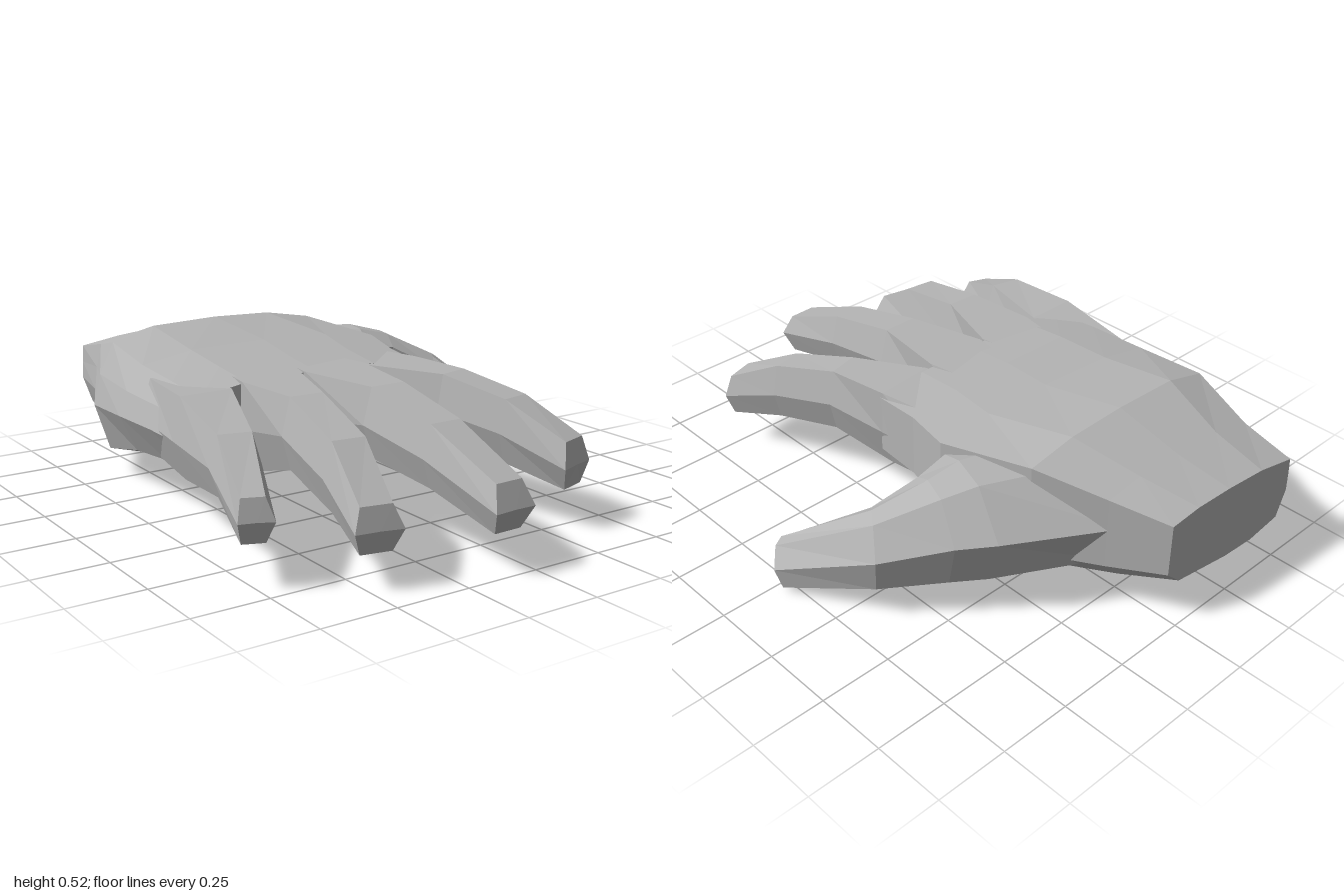
import * as THREE from 'three';

const skin = new THREE.MeshStandardMaterial({ color: 0xb4b4b4 });

// Cross-section shapes as [across 0..1, height 0..1], left side over the top to the right
const palmShape = [[0, 0.46], [0.03, 0.68], [0.09, 0.9], [0.27, 0.985], [0.55, 1], [0.8, 0.985], [1, 0.92],
  [1, 0.25], [0.9, 0.07], [0.5, 0], [0.28, 0.01], [0.06, 0.12]];
const fingerShape = [[0, 0.48], [0.17, 1], [0.83, 1], [1, 0.48], [0.83, 0], [0.17, 0]];
const thumbShape = [[0, 0.3], [0.04, 0.88], [0.3, 1], [0.65, 0.98], [1, 0.6], [0.85, 0.1], [0.3, 0]];

// Section: left x, left z, right x, right z, bottom y, top y,
// then squareness of the top corners, forward bulge at mid height, top lean in z
function ring(shape, [ax, az, bx, bz, y0, y1, square = 0, bulge = 0, lean = 0]) {
  return shape.map(([across, v]) => {
    const corner = v > 0.6 && (across < 0.2 || across > 0.82);
    const u = corner ? across + (Math.round(across) - across) * square : across;
    return new THREE.Vector3(
      ax + (bx - ax) * u,
      y0 + (y1 - y0) * v,
      az + (bz - az) * u + (v > 0.2 && v < 0.8 ? bulge : 0) + lean * v);
  });
}

// Faceted skin through a row of sections, closed at both ends
function loft(name, shape, sections) {
  const rings = sections.map((s) => ring(shape, s));
  const n = shape.length;
  const points = [];
  for (let k = 0; k < rings.length - 1; k++) {
    const a = rings[k], b = rings[k + 1];
    for (let i = 0; i < n; i++) {
      const j = (i + 1) % n;
      points.push(a[i], b[i], a[j], a[j], b[i], b[j]);
    }
  }
  const cap = (r, front) => {
    const c = new THREE.Vector3();
    r.forEach((p) => c.addScaledVector(p, 1 / n));
    if (front) c.z = (r[0].z + r[Math.floor(n / 2)].z) / 2;
    for (let i = 0; i < n; i++) {
      const j = (i + 1) % n;
      points.push(c, front ? r[j] : r[i], front ? r[i] : r[j]);
    }
  };
  cap(rings[0], false);
  cap(rings[rings.length - 1], true);
  const geometry = new THREE.BufferGeometry().setFromPoints(points);
  geometry.computeVertexNormals();
  const mesh = new THREE.Mesh(geometry, skin);
  mesh.name = name;
  return mesh;
}

export function createModel() {
  const hand = new THREE.Group();
  hand.name = 'hand';

  // Wrist and palm, from the cut end to the finger webs
  hand.add(loft('palm', palmShape, [
    [-0.525, -1, 0.025, -0.97, 0.13, 0.41, 0.9],
    [-0.56, -0.81, 0.11, -0.79, 0.08, 0.46, 0.5],
    [-0.67, -0.57, 0.22, -0.57, 0.035, 0.525],
    [-0.7, -0.3, 0.3, -0.25, 0.11, 0.485],
    [-0.7, -0.07, 0.255, -0.07, 0.135, 0.468],
    [-0.695, 0.11, 0.24, 0.11, 0.14, 0.45],
  ]));

  // Fingers, from roots inside the palm to the tips
  const fingers = {
    littleFinger: [
      [-0.67, -0.2, -0.46, -0.15, 0.18, 0.425],
      [-0.715, 0.12, -0.475, 0.12, 0.165, 0.435, 0.3],
      [-0.755, 0.42, -0.6, 0.46, 0.2, 0.39],
      [-0.81, 0.66, -0.71, 0.7, 0.14, 0.275, 0, 0.02],
    ],
    ringFinger: [
      [-0.46, -0.15, -0.25, -0.15, 0.17, 0.45],
      [-0.47, 0.12, -0.24, 0.12, 0.15, 0.452, 0.9],
      [-0.475, 0.37, -0.3, 0.38, 0.22, 0.452],
      [-0.51, 0.65, -0.345, 0.67, 0.17, 0.385],
      [-0.55, 0.85, -0.4, 0.88, 0.11, 0.25, 0, 0.02],
    ],
    middleFinger: [
      [-0.23, -0.15, 0, -0.15, 0.17, 0.455],
      [-0.235, 0.12, 0.01, 0.12, 0.15, 0.455, 0.9],
      [-0.195, 0.4, -0.005, 0.4, 0.22, 0.45],
      [-0.175, 0.68, -0.005, 0.68, 0.19, 0.39],
      [-0.155, 0.965, -0.005, 0.96, 0.125, 0.275, 0, 0.035],
    ],
    indexFinger: [
      [0, -0.15, 0.23, -0.15, 0.17, 0.44],
      [0.015, 0.12, 0.245, 0.1, 0.15, 0.445, 0.8],
      [0.13, 0.36, 0.295, 0.32, 0.21, 0.44],
      [0.21, 0.58, 0.365, 0.55, 0.18, 0.39],
      [0.285, 0.79, 0.43, 0.745, 0.13, 0.285, 0, 0.02],
    ],
  };
  for (const [name, sections] of Object.entries(fingers)) hand.add(loft(name, fingerShape, sections));

  // Thumb, sweeping out of the wrist side and drooping to the floor
  hand.add(loft('thumb', thumbShape, [
    [-0.05, -0.3, 0.06, -0.82, 0.1, 0.455],
    [0.29, -0.25, 0.405, -0.62, 0.11, 0.458],
    [0.41, -0.26, 0.5, -0.53, 0.11, 0.43],
    [0.55, -0.2, 0.67, -0.36, 0.09, 0.34],
    [0.695, 0.01, 0.81, -0.05, 0, 0.145, 0, 0, 0.05],
  ]));

  return hand;
}
